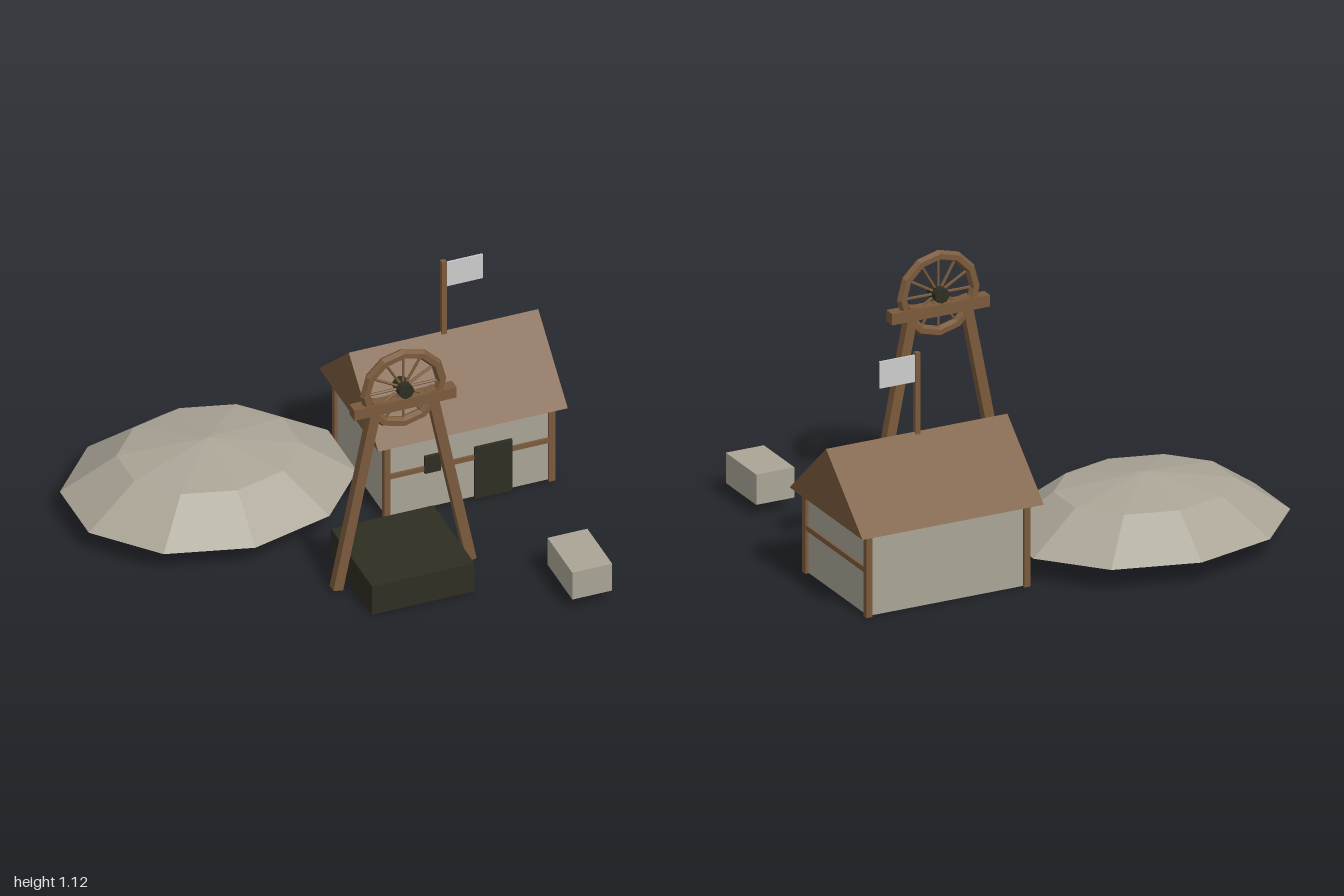
import * as THREE from 'three';

const mat = (name, color, extra = {}) => {
  const m = new THREE.MeshStandardMaterial({ color, flatShading: true, ...extra });
  m.name = name;
  return m;
};

export function createModel() {
  const wood = mat('wood', 0x7a5a3c);
  const stone = mat('stone', 0xaaa496);
  const rubble = mat('rubble', 0xaaa496, { side: THREE.DoubleSide });
  const dark = mat('dark', 0x2e2e22);
  const cloth = mat('cloth', 0xcccccc);

  const model = new THREE.Group();
  const group = (name) => {
    const g = new THREE.Group();
    g.name = name;
    model.add(g);
    return g;
  };
  const add = (parent, name, geo, material) => {
    const m = new THREE.Mesh(geo, material);
    m.name = name;
    parent.add(m);
    return m;
  };
  // Box given by its extents on each axis
  const box = (parent, name, material, [x0, x1], [y0, y1], [z0, z1]) => {
    const m = add(parent, name, new THREE.BoxGeometry(x1 - x0, y1 - y0, z1 - z0), material);
    m.position.set((x0 + x1) / 2, (y0 + y1) / 2, (z0 + z1) / 2);
    return m;
  };

  // Spoil heap: open faceted dome, wider than deep
  const profile = [[0.62, 0.105], [0.384, 0.265], [0, 0.325]].map((p) => new THREE.Vector2(...p));
  const heap = add(model, 'spoilHeap', new THREE.LatheGeometry(profile, 10), rubble);
  heap.scale.z = 0.825;
  heap.position.set(-0.413, 0, -0.378);

  // House: walls, timber frame, openings
  const house = group('house');
  box(house, 'walls', stone, [0.22, 0.945], [0.003, 0.37], [-0.555, -0.01]);
  for (const x of [0.22, 0.945])
    for (const z of [-0.01, -0.553])
      box(house, 'cornerPost', wood, [x - 0.014, x + 0.014], [0, 0.37], [z - 0.014, z + 0.014]);
  box(house, 'frontRail', wood, [0.22, 0.945], [0.19, 0.212], [-0.02, 0]);
  box(house, 'sideRail', wood, [0.935, 0.955], [0.19, 0.212], [-0.553, -0.01]);
  box(house, 'door', dark, [0.605, 0.77], [0, 0.25], [-0.02, 0.004]);
  box(house, 'window', dark, [0.385, 0.455], [0.18, 0.262], [-0.02, 0.004]);

  // Closed gable roof, extruded along x
  const gable = new THREE.Shape([
    new THREE.Vector2(-0.035, 0.367),
    new THREE.Vector2(0.61, 0.367),
    new THREE.Vector2(0.287, 0.652),
  ]);
  const roofGeo = new THREE.ExtrudeGeometry(gable, { depth: 0.833, bevelEnabled: false });
  roofGeo.rotateY(Math.PI / 2);
  add(house, 'roof', roofGeo, wood).position.x = 0.167;

  // Flag on the ridge
  box(house, 'flagPole', wood, [0.572, 0.594], [0.63, 1.0], [-0.298, -0.276]);
  box(house, 'flag', cloth, [0.594, 0.755], [0.872, 0.99], [-0.291, -0.283]);

  // Stone block in front of the house
  box(model, 'stoneBlock', stone, [0.675, 0.85], [0.052, 0.185], [0.62, 0.89]);

  // Winding tower
  const tower = group('windingTower');
  const cx = 0.13, cz = 0.397;
  box(tower, 'shaftBase', dark, [cx - 0.225, cx + 0.225], [0, 0.14], [0.17, 0.615]);
  box(tower, 'crossbeam', wood, [cx - 0.225, cx + 0.225], [0.838, 0.888], [cz - 0.026, cz + 0.026]);
  for (const s of [-1, 1]) {
    const leg = add(tower, 'leg', new THREE.BoxGeometry(0.043, 0.9, 0.043), wood);
    leg.position.set(cx + s * 0.206, 0.452, cz);
    leg.rotation.z = s * 0.196;
  }

  // Wheel: hexagonal-section rim, spokes and hub
  const wheel = new THREE.Group();
  wheel.name = 'wheel';
  wheel.position.set(cx, 0.93, cz);
  tower.add(wheel);
  add(wheel, 'rim', new THREE.TorusGeometry(0.167, 0.023, 6, 12), wood);
  for (let i = 0; i < 6; i++) {
    const spoke = add(wheel, 'spokePair', new THREE.CylinderGeometry(0.006, 0.006, 0.32, 5), wood);
    spoke.rotation.z = (i * Math.PI) / 6;
  }
  add(wheel, 'hub', new THREE.CylinderGeometry(0.033, 0.033, 0.076, 10), dark).rotation.x = Math.PI / 2;

  return model;
}
